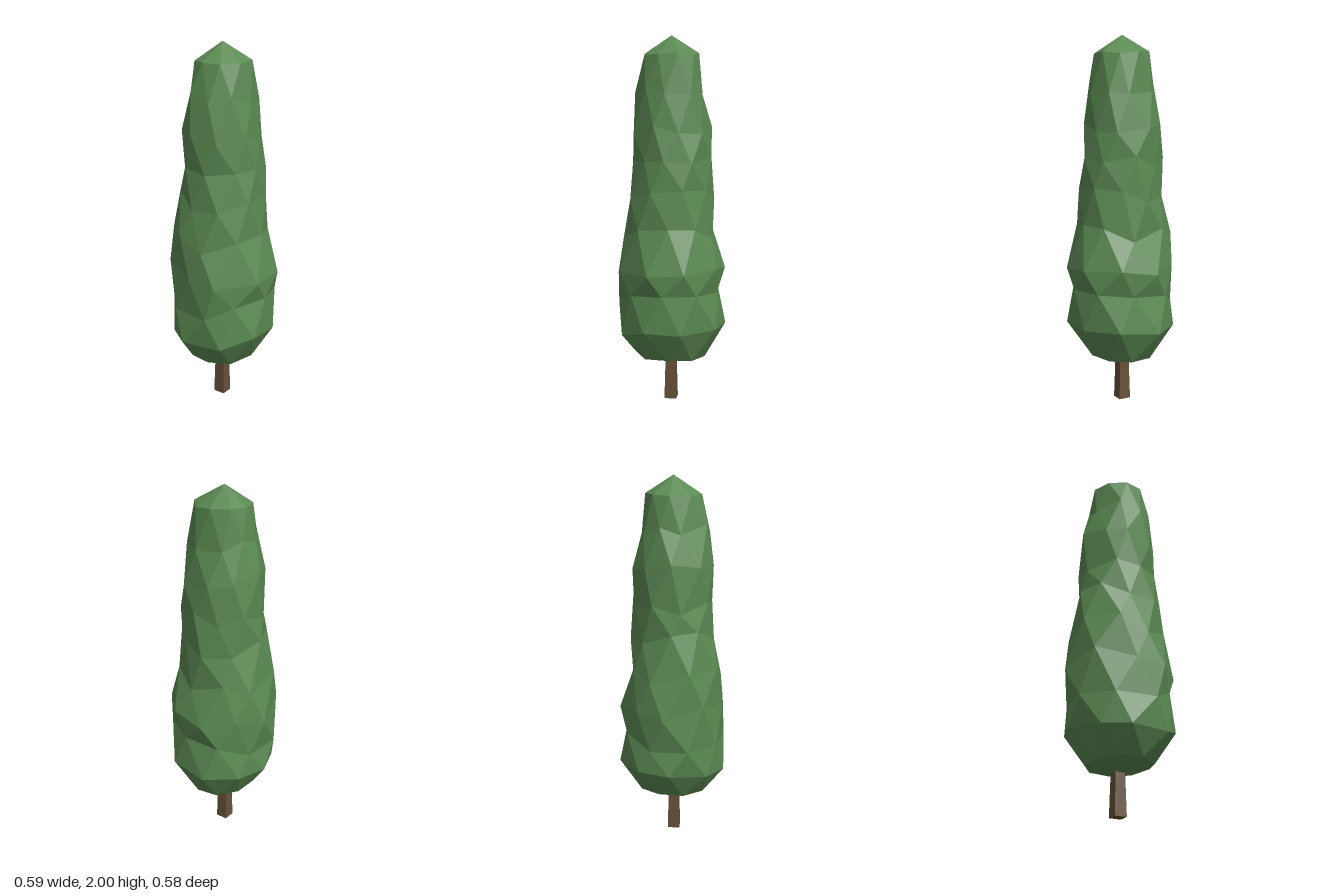
import * as THREE from 'three';

// Crown outline per ring: height, reach to +x, -x, +z, -z
const RINGS = [
  [0.27, 0.18, 0.17, 0.20, 0.19],
  [0.43, 0.29, 0.29, 0.29, 0.285],
  [0.61, 0.285, 0.285, 0.285, 0.27],
  [0.79, 0.285, 0.285, 0.29, 0.285],
  [0.97, 0.245, 0.27, 0.275, 0.235],
  [1.17, 0.23, 0.225, 0.23, 0.22],
  [1.36, 0.21, 0.215, 0.21, 0.215],
  [1.54, 0.195, 0.22, 0.225, 0.205],
  [1.73, 0.175, 0.18, 0.195, 0.17],
  [1.905, 0.145, 0.15, 0.155, 0.14],
];
const SIDES = 9;

function seeded(seed) {
  return () => {
    seed = (seed * 16807) % 2147483647;
    return seed / 2147483647;
  };
}

// Lumpy loft: rings staggered by half a step, jittered, closed by two tips
function crownGeometry() {
  const rand = seeded(4211);
  const points = RINGS.map(([y, right, left, front, back], r) => {
    const end = r === 0 || r === RINGS.length - 1;
    return Array.from({ length: SIDES }, (_, i) => {
      const wobble = end ? 0.08 : 0.26;
      const a = ((i + r / 2 + (rand() - 0.5) * wobble) / SIDES) * Math.PI * 2;
      const c = Math.cos(a), s = Math.sin(a);
      const swell = 1.01 + (rand() - 0.5) * (end ? 0.03 : 0.11);
      return new THREE.Vector3(
        c * (c > 0 ? right : left) * swell,
        y + (rand() - 0.5) * (end ? 0.015 : 0.1),
        s * (s > 0 ? front : back) * swell,
      );
    });
  });
  const bottom = new THREE.Vector3(0, 0.215, 0);
  const tip = new THREE.Vector3(-0.007, 2, 0.005);
  const faces = [];
  for (let i = 0; i < SIDES; i++) {
    const j = (i + 1) % SIDES;
    faces.push(bottom, points[0][i], points[0][j]);
    for (let r = 0; r < points.length - 1; r++) {
      const low = points[r], high = points[r + 1];
      faces.push(low[i], high[i], low[j]);
      faces.push(low[j], high[i], high[j]);
    }
    const top = points[points.length - 1];
    faces.push(top[i], tip, top[j]);
  }
  const geometry = new THREE.BufferGeometry().setFromPoints(faces);
  geometry.computeVertexNormals();
  return geometry;
}

export function createModel() {
  const leafGreen = new THREE.MeshStandardMaterial({ color: 0x5b8a53, flatShading: true });
  leafGreen.name = 'leafGreen';
  const barkBrown = new THREE.MeshStandardMaterial({ color: 0x66503a, flatShading: true });
  barkBrown.name = 'barkBrown';

  const tree = new THREE.Group();
  tree.name = 'tree';

  const crown = new THREE.Mesh(crownGeometry(), leafGreen);
  crown.name = 'crown';
  tree.add(crown);

  // Square tapered trunk, reaching into the crown
  const trunk = new THREE.Mesh(new THREE.CylinderGeometry(0.036, 0.047, 0.3, 4), barkBrown);
  trunk.geometry.rotateY(Math.PI / 4);
  trunk.name = 'trunk';
  trunk.position.set(-0.008, 0.15, 0.008);
  tree.add(trunk);

  return tree;
}
